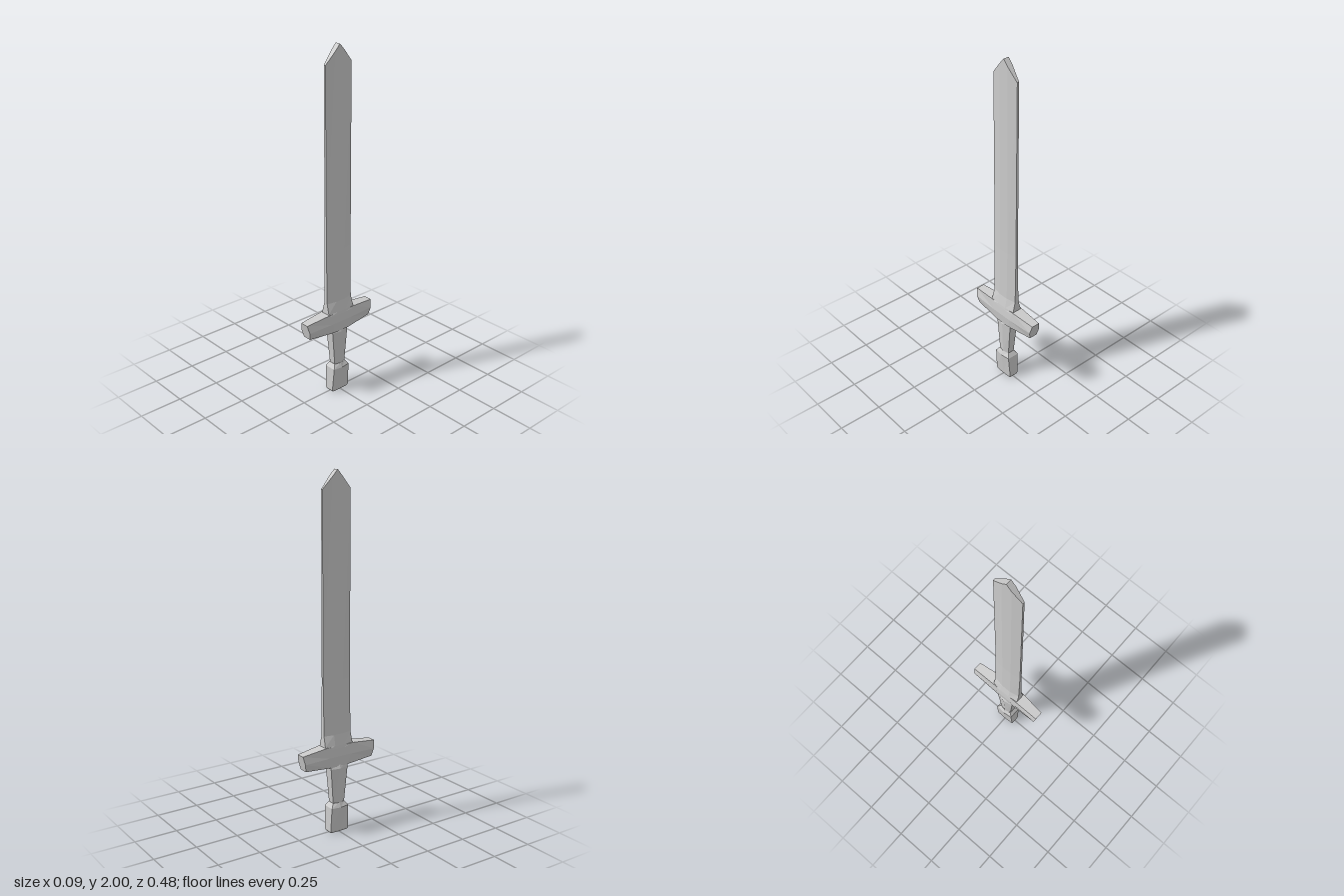
import * as THREE from 'three';

// Skin a list of equal-length rings (arrays of [x, y, z]) and cap both ends
function loft(name, rings) {
  const n = rings[0].length;
  const tris = [];
  for (let r = 0; r < rings.length - 1; r++) {
    for (let i = 0; i < n; i++) {
      const j = (i + 1) % n;
      const a = rings[r], b = rings[r + 1];
      tris.push(a[i], a[j], b[j], a[i], b[j], b[i]);
    }
  }
  const cap = (ring, flip, peak) => {
    const c = [0, 1, 2].map(k => ring.reduce((s, p) => s + p[k], 0) / n);
    if (peak) c[1] = Math.max(...ring.map(p => p[1]));
    for (let i = 0; i < n; i++) {
      const j = (i + 1) % n;
      tris.push(c, ring[flip ? j : i], ring[flip ? i : j]);
    }
  };
  cap(rings[0], true, false);
  cap(rings[rings.length - 1], false, name === 'blade');
  const geo = new THREE.BufferGeometry();
  geo.setAttribute('position', new THREE.Float32BufferAttribute(tris.flat(), 3));
  geo.computeVertexNormals();
  const mesh = new THREE.Mesh(geo, new THREE.MeshStandardMaterial({ color: 0xcccccc, flatShading: true }));
  mesh.name = name;
  return mesh;
}

// Horizontal six-sided section with a ridge at z = 0 on each broad face
const hexRing = (y, cx, ridge, edge, hz) => [
  [cx - edge, y, hz], [cx + edge, y, hz], [cx + ridge, y, 0],
  [cx + edge, y, -hz], [cx - edge, y, -hz], [cx - ridge, y, 0],
];

// Ten-sided blade section: flat middle, thin edges; slope drops the edges at the tip
function bladeRing(y, cx, half, edge, hz, slope = 0) {
  const m = 0.03;
  return [
    [-edge, hz], [edge, hz], [half, m], [half, 0], [half, -m],
    [edge, -hz], [-edge, -hz], [-half, -m], [-half, 0], [-half, m],
  ].map(([x, z]) => [cx + x, y - slope * Math.abs(z), z]);
}

// Six-sided guard section in the xy plane; lean tilts the end faces
const guardRing = (z, yb, yt, cx, hx, edge, lean = 0) => [
  [cx - edge, yb, z - lean], [cx + edge, yb, z - lean], [cx + hx, (yb + yt) / 2, z],
  [cx + edge, yt, z + lean], [cx - edge, yt, z + lean], [cx - hx, (yb + yt) / 2, z],
];

export function createModel() {
  const model = new THREE.Group();

  // Pommel, flaring up from a bevelled foot
  model.add(loft('pommel', [
    hexRing(0, 0, 0.026, 0.024, 0.054),
    hexRing(0.012, -0.002, 0.031, 0.028, 0.06),
    hexRing(0.15, 0, 0.042, 0.036, 0.055),
    hexRing(0.175, 0, 0.03, 0.022, 0.038),
  ]));

  // Grip, widening towards the guard
  model.add(loft('grip', [
    hexRing(0.165, 0, 0.03, 0.02, 0.036),
    hexRing(0.38, -0.002, 0.038, 0.026, 0.055),
    hexRing(0.41, 0, 0.028, 0.02, 0.055),
  ]));

  // Crossguard, tapering to slanted ends
  model.add(loft('crossguard', [
    guardRing(-0.229, 0.405, 0.495, -0.003, 0.036, 0.025, -0.009),
    guardRing(-0.07, 0.392, 0.512, 0.003, 0.04, 0.034, -0.02),
    guardRing(0.07, 0.392, 0.512, 0.003, 0.04, 0.034, 0.02),
    guardRing(0.229, 0.405, 0.495, -0.003, 0.036, 0.025, 0.009),
  ]));

  // Blade with flared root and roof-shaped tip
  model.add(loft('blade', [
    bladeRing(0.5, 0.004, 0.038, 0.034, 0.09),
    bladeRing(0.515, 0.004, 0.036, 0.028, 0.09),
    bladeRing(0.575, 0.004, 0.024, 0.012, 0.088),
    bladeRing(0.88, 0.005, 0.018, 0.007, 0.088),
    bladeRing(2, 0.005, 0.016, 0.006, 0.088, 1.12),
  ]));

  return model;
}
